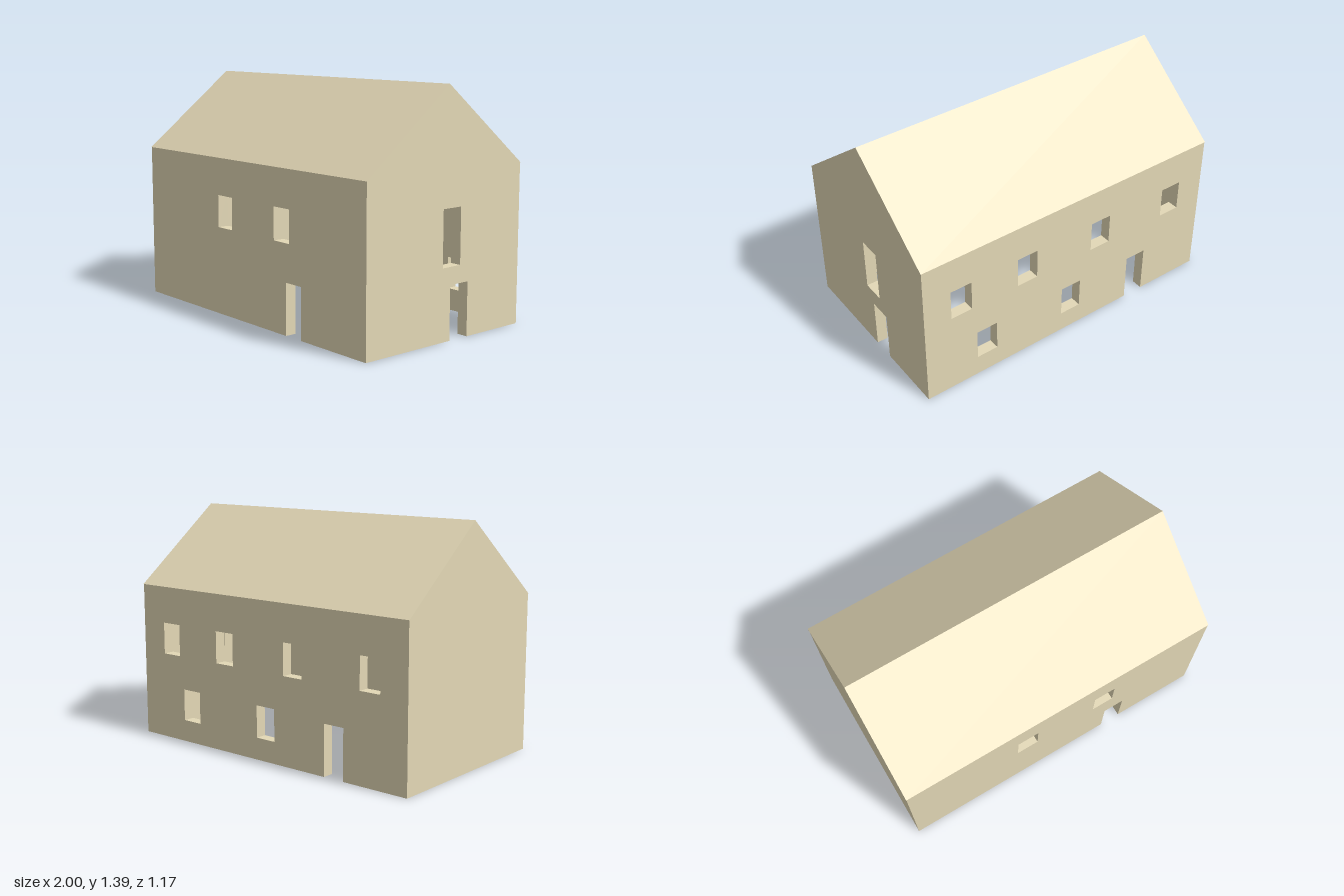
import * as THREE from 'three';

const W = 2, D = 1.17, EAVE = 0.93, RIDGE = 1.39, T = 0.067, LIP = 0.002;

const material = new THREE.MeshStandardMaterial({ color: 0xe3d8b6, flatShading: true });

// Wall slab: windows are holes [x0, x1, y0, y1], doors are notches [x0, x1, height]
function wallGeometry(width, doors, windows) {
  const h = width / 2;
  const shape = new THREE.Shape();
  shape.moveTo(-h, 0);
  for (const [x0, x1, y] of doors) {
    shape.lineTo(x0, 0);
    shape.lineTo(x0, y);
    shape.lineTo(x1, y);
    shape.lineTo(x1, 0);
  }
  shape.lineTo(h, 0);
  shape.lineTo(h, EAVE);
  shape.lineTo(-h, EAVE);
  shape.closePath();
  for (const [x0, x1, y0, y1] of windows) {
    const hole = new THREE.Path();
    hole.moveTo(x0, y0);
    hole.lineTo(x0, y1);
    hole.lineTo(x1, y1);
    hole.lineTo(x1, y0);
    hole.closePath();
    shape.holes.push(hole);
  }
  return new THREE.ExtrudeGeometry(shape, { depth: T, bevelEnabled: false });
}

export function createModel() {
  const house = new THREE.Group();
  house.name = 'house';
  const add = (name, geometry) => {
    const mesh = new THREE.Mesh(geometry, material);
    mesh.name = name;
    house.add(mesh);
  };

  const hx = W / 2 - LIP, hz = D / 2 - LIP;
  const upper = (x0, x1) => [x0, x1, 0.52, 0.71];
  const lower = (x0, x1) => [x0, x1, 0.13, 0.32];

  // Long walls
  add('frontWall', wallGeometry(2 * hx, [[0.35, 0.48, 0.3]],
    [upper(-0.28, -0.145), upper(0.245, 0.38)]).translate(0, 0, hz - T));
  add('backWall', wallGeometry(2 * hx, [[-0.575, -0.44, 0.3]], [
    upper(-0.82, -0.685), upper(-0.28, -0.145), upper(0.245, 0.38), upper(0.69, 0.825),
    lower(-0.075, 0.06), lower(0.525, 0.66),
  ]).translate(0, 0, -hz));

  // End walls fitted between the long walls
  const endWidth = 2 * (hz - T);
  add('leftEndWall', wallGeometry(endWidth, [[0.03, 0.167, 0.31]], [[-0.03, 0.105, 0.41, 0.73]])
    .rotateY(Math.PI / 2).translate(hx - T, 0, 0));
  add('rightEndWall', wallGeometry(endWidth, [], [])
    .rotateY(Math.PI / 2).translate(-hx, 0, 0));

  // Solid gable roof
  const gable = new THREE.Shape([
    new THREE.Vector2(-D / 2, EAVE),
    new THREE.Vector2(D / 2, EAVE),
    new THREE.Vector2(0, RIDGE),
  ]);
  add('roof', new THREE.ExtrudeGeometry(gable, { depth: W, bevelEnabled: false })
    .rotateY(Math.PI / 2).translate(-W / 2, 0, 0));

  return house;
}
